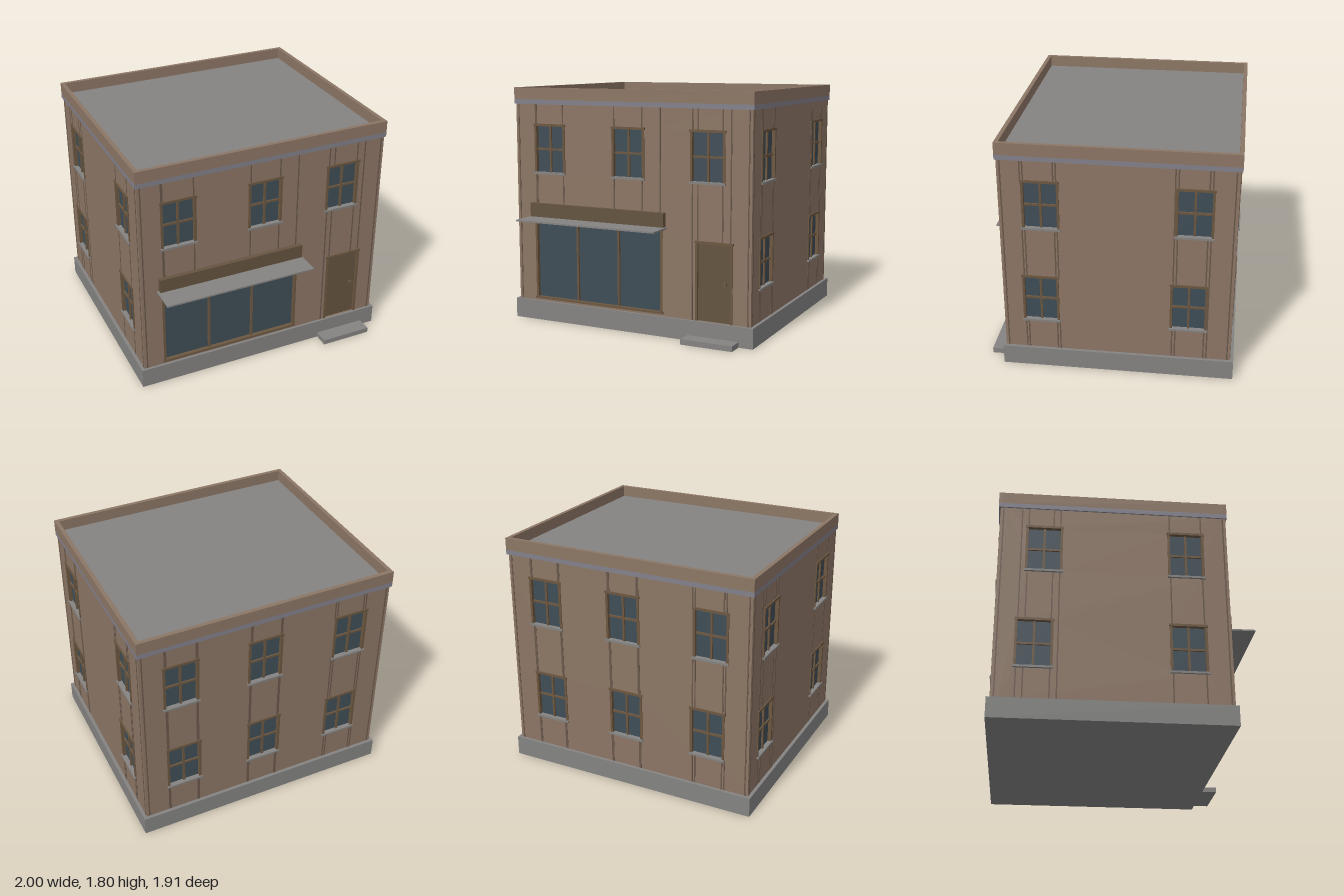
import * as THREE from 'three';

const mat = (name, color) => {
  const m = new THREE.MeshStandardMaterial({ color });
  m.name = name;
  return m;
};

export function createModel() {
  const wall = mat('brick wall', 0x8c7665);
  const seam = mat('wall seam', 0x6a584c);
  const stone = mat('grey stone', 0x848382);
  const band = mat('cornice grey', 0x82808a);
  const trim = mat('wood trim', 0x6c5741);
  const doorMat = mat('door wood', 0x655440);
  const glass = mat('window glass', 0x3f4d56);

  const model = new THREE.Group();
  model.name = 'shopBuilding';

  // Box given by its minimum and maximum corners
  function box(parent, name, m, x0, x1, y0, y1, z0, z1) {
    const mesh = new THREE.Mesh(new THREE.BoxGeometry(x1 - x0, y1 - y0, z1 - z0), m);
    mesh.position.set((x0 + x1) / 2, (y0 + y1) / 2, (z0 + z1) / 2);
    mesh.name = name;
    parent.add(mesh);
    return mesh;
  }

  // Rectangular frame of four bars around an opening
  function frame(parent, o, t, z0, z1) {
    box(parent, 'frameLeft', trim, o.x0 - t, o.x0 + 0.003, o.y0, o.y1, z0, z1);
    box(parent, 'frameRight', trim, o.x1 - 0.003, o.x1 + t, o.y0, o.y1, z0, z1);
    box(parent, 'frameTop', trim, o.x0 - t - 0.005, o.x1 + t + 0.005, o.y1 - 0.003, o.y1 + t, z0, z1 + 0.003);
  }

  function addWindow(parent, o) {
    const g = new THREE.Group();
    g.name = 'window';
    parent.add(g);
    const cx = (o.x0 + o.x1) / 2, cy = (o.y0 + o.y1) / 2;
    box(g, 'glass', glass, o.x0, o.x1, o.y0, o.y1, -0.03, -0.02);
    box(g, 'mullion', trim, cx - 0.008, cx + 0.008, o.y0, o.y1, -0.02, -0.007);
    box(g, 'crossbar', trim, o.x0, o.x1, cy - 0.008, cy + 0.008, -0.02, -0.008);
    frame(g, o, 0.015, -0.02, 0.007);
    box(g, 'sill', stone, o.x0 - 0.02, o.x1 + 0.02, o.y0 - 0.014, o.y0 + 0.002, -0.02, 0.016);
  }

  function addShopfront(parent, o) {
    const g = new THREE.Group();
    g.name = 'shopfront';
    parent.add(g);
    box(g, 'glass', glass, o.x0, o.x1, o.y0, o.y1, -0.03, -0.02);
    for (const x of [-0.445, -0.09]) box(g, 'mullion', trim, x - 0.008, x + 0.008, o.y0, o.y1, -0.02, -0.004);
    frame(g, o, 0.015, -0.02, 0.006);
    box(g, 'frameBottom', trim, o.x0 - 0.02, o.x1 + 0.02, o.y0 - 0.012, o.y0 + 0.004, -0.02, 0.01);
    box(g, 'signBoard', doorMat, -0.84, 0.305, 0.815, 0.92, 0, 0.035);
    box(g, 'canopy', stone, -0.855, 0.315, 0.8, 0.812, -0.01, 0.205);
  }

  function addDoor(parent, o) {
    const g = new THREE.Group();
    g.name = 'door';
    parent.add(g);
    box(g, 'doorLeaf', doorMat, o.x0, o.x1, o.y0, o.y1, -0.03, -0.01);
    frame(g, o, 0.015, -0.02, 0.008);
    box(g, 'doorKnob', trim, 0.763, 0.785, 0.425, 0.447, -0.01, 0.008);
  }

  // One wall in its own frame: outer face at z = 0, openings cut through
  const Y0 = 0.14, Y1 = 1.69, T = 0.05;
  function facade(name, a, b, inset, openings, place) {
    const g = new THREE.Group();
    g.name = name;
    const s = new THREE.Shape();
    const l = a + inset, r = b - inset;
    s.moveTo(l, Y0).lineTo(r, Y0).lineTo(r, Y1).lineTo(l, Y1).closePath();
    for (const o of openings) {
      const h = new THREE.Path();
      h.moveTo(o.x0, o.y0).lineTo(o.x0, o.y1).lineTo(o.x1, o.y1).lineTo(o.x1, o.y0).closePath();
      s.holes.push(h);
      o.add(g, o);
    }
    const geo = new THREE.ExtrudeGeometry(s, { depth: T, bevelEnabled: false });
    geo.translate(0, 0, -T);
    const mesh = new THREE.Mesh(geo, wall);
    mesh.name = 'wall';
    g.add(mesh);

    // Panel seams in line with the openings and near the corners
    const lines = [a + 0.024, b - 0.024];
    for (const o of openings) lines.push(o.x0 + 0.003, o.x1 - 0.003);
    for (const x of new Set(lines.map(v => Math.round(v * 1000) / 1000))) {
      let y = 0.15;
      const cuts = openings.filter(o => x > o.x0 - 0.02 && x < o.x1 + 0.02).sort((p, q) => p.y0 - q.y0);
      for (const o of [...cuts, { y0: 1.68, y1: 1.68 }]) {
        if (o.y0 - y > 0.03) box(g, 'seam', seam, x - 0.005, x + 0.005, y, o.y0, -0.002, 0.002);
        y = o.y1;
      }
    }
    place(g);
    model.add(g);
  }

  const win = (x, y) => ({ x0: x - 0.12, x1: x + 0.12, y0: y, y1: y + 0.355, add: addWindow });
  const up = xs => xs.map(x => win(x, 1.158));
  const low = xs => xs.map(x => win(x, 0.397));

  // Four walls
  facade('frontWall', -0.975, 0.975, 0, [
    ...up([-0.675, 0, 0.637]),
    { x0: -0.803, x1: 0.267, y0: 0.178, y1: 0.788, add: addShopfront },
    { x0: 0.56, x1: 0.82, y0: 0.152, y1: 0.722, add: addDoor },
  ], g => g.position.set(0, 0, 0.75));
  facade('backWall', -0.975, 0.975, 0, [...up([-0.67, -0.02, 0.67]), ...low([-0.66, -0.01, 0.65])],
    g => { g.rotation.y = Math.PI; g.position.z = -0.93; });
  facade('rightSideWall', -0.75, 0.93, T, [...up([-0.45, 0.635]), ...low([-0.47, 0.612])],
    g => { g.rotation.y = Math.PI / 2; g.position.x = 0.975; });
  facade('leftSideWall', -0.93, 0.75, T, [...up([-0.6, 0.44]), ...low([-0.65, 0.44])],
    g => { g.rotation.y = -Math.PI / 2; g.position.x = -0.975; });

  // Plinth and door step
  box(model, 'plinth', stone, -1, 1, 0, 0.15, -0.955, 0.77);
  box(model, 'doorStep', stone, 0.49, 0.89, 0, 0.04, 0.77, 0.885);

  // Cornice band, roof and parapet
  box(model, 'corniceBand', band, -0.985, 0.985, 1.675, 1.71, -0.945, 0.76);
  box(model, 'roof', stone, -0.96, 0.96, 1.69, 1.715, -0.92, 0.735);
  for (const [z0, z1] of [[-0.945, -0.915], [0.73, 0.76]])
    box(model, 'parapet', wall, -0.985, 0.985, 1.71, 1.8, z0, z1);
  for (const x of [-0.985, 0.955])
    box(model, 'parapet', wall, x, x + 0.03, 1.71, 1.8, -0.915, 0.73);

  return model;
}
